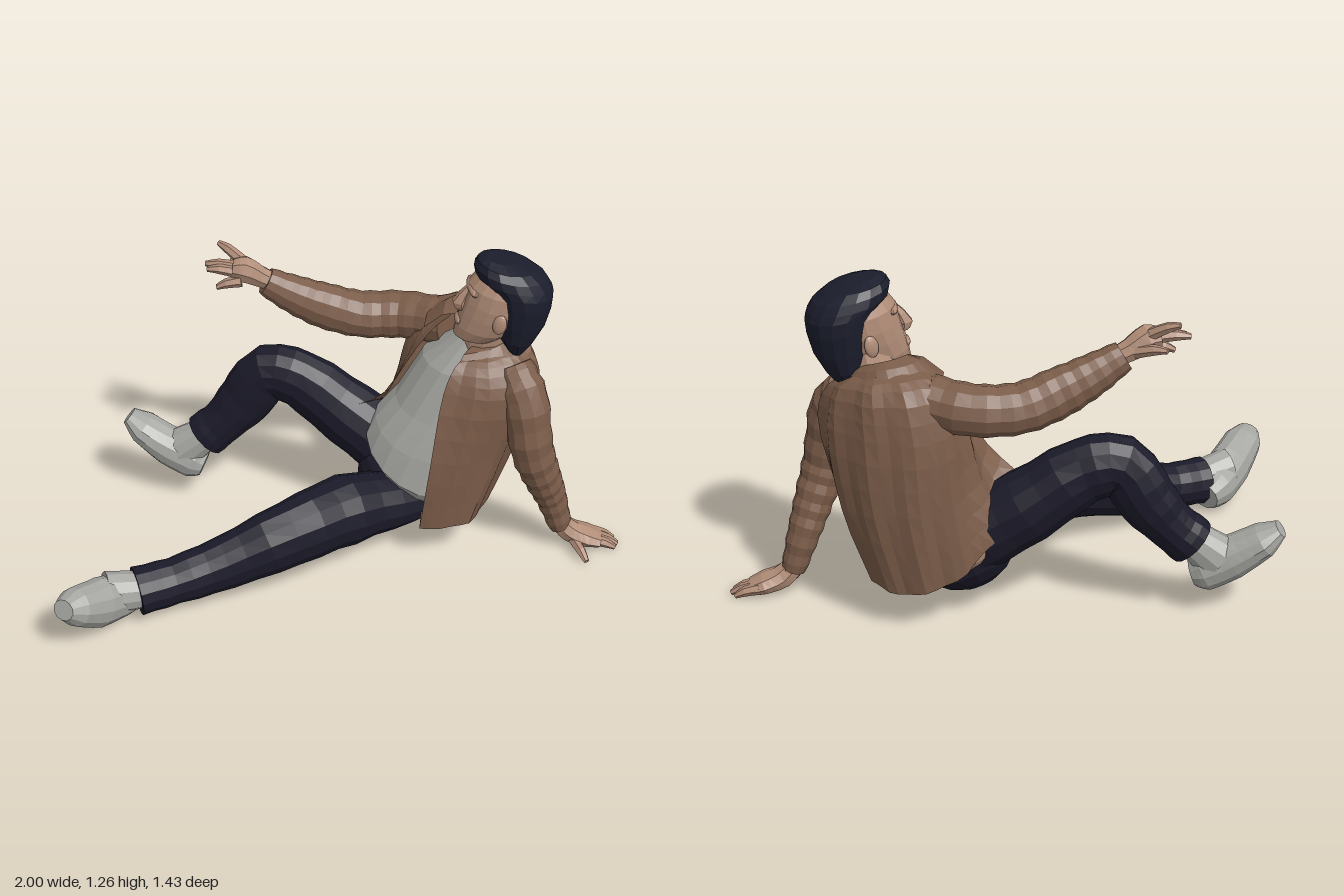
import * as THREE from 'three';

const V = (p) => new THREE.Vector3(p[0], p[1], p[2]);
const mat = (name, color, extra = {}) => {
  const m = new THREE.MeshStandardMaterial({ color, ...extra });
  m.name = name;
  return m;
};

// Faceted skin over a list of rings; closed rings also get end caps.
function loft(rings, closed) {
  const pos = [];
  const tri = (...p) => p.forEach((v) => pos.push(v.x, v.y, v.z));
  const n = rings[0].length;
  const m = closed ? n : n - 1;
  for (let i = 0; i < rings.length - 1; i++) {
    for (let j = 0; j < m; j++) {
      const k = (j + 1) % n, [r, s] = [rings[i], rings[i + 1]];
      tri(r[j], r[k], s[k]);
      tri(r[j], s[k], s[j]);
    }
  }
  if (closed) {
    const mid = (r) => r.reduce((a, v) => a.add(v), new THREE.Vector3()).divideScalar(n);
    const first = rings[0], last = rings[rings.length - 1];
    const a = mid(first), b = mid(last);
    for (let j = 0; j < n; j++) {
      const k = (j + 1) % n;
      tri(a, first[k], first[j]);
      tri(b, last[j], last[k]);
    }
  }
  const g = new THREE.BufferGeometry();
  g.setAttribute('position', new THREE.Float32BufferAttribute(pos, 3));
  g.computeVertexNormals();
  return g;
}

// Tapering limb: points are [x, y, z, radius along ref, radius across].
function limb(pts, ref = [0, 1, 0], sides = 12, steps = 3, ripple = 0) {
  const curve = new THREE.CatmullRomCurve3(pts.map(V));
  const n = (pts.length - 1) * steps, rings = [];
  for (let i = 0; i <= n; i++) {
    const s = Math.min(Math.floor(i / steps), pts.length - 2), f = i / steps - s;
    const c = curve.getPoint(i / n), t = curve.getTangent(i / n);
    const up = V(ref).addScaledVector(t, -V(ref).dot(t)).normalize();
    const side = up.clone().cross(t);
    const fold = 1 + ripple * (i % 2 ? 1 : -1);
    const ru = THREE.MathUtils.lerp(pts[s][3], pts[s + 1][3], f) * fold;
    const rs = THREE.MathUtils.lerp(pts[s][4], pts[s + 1][4], f) * fold;
    rings.push(Array.from({ length: sides }, (_, j) => {
      const a = (j / sides) * Math.PI * 2;
      return c.clone().addScaledVector(side, rs * Math.cos(a)).addScaledVector(up, ru * Math.sin(a));
    }));
  }
  return loft(rings, true);
}

// Stack of ellipses [x, y, z, half width, half depth, drop along the width].
function stack(sections, across, ahead, sides = 16) {
  return loft(sections.map((s) => Array.from({ length: sides }, (_, j) => {
    const a = (j / sides) * Math.PI * 2;
    const p = V(s).addScaledVector(across, s[3] * Math.cos(a)).addScaledVector(ahead, -s[4] * Math.sin(a));
    p.y -= s[5] * Math.cos(a);
    return p;
  })), true);
}

function ball(rx, ry, rz) {
  const g = new THREE.SphereGeometry(1, 14, 10).scale(rx, ry, rz).toNonIndexed();
  g.computeVertexNormals();
  return g;
}

const smooth = (pts, n) => new THREE.CatmullRomCurve3(pts).getPoints(n);

export function createModel() {
  const model = new THREE.Group();
  model.name = 'recliningMan';
  const leather = mat('brownJacket', 0x7c5d4a, { side: THREE.DoubleSide });
  const navy = mat('navyTrousers', 0x1b1a29);
  const grey = mat('greyCloth', 0xa6a6a2);
  const skin = mat('skin', 0xb08c77);
  const hairMat = mat('darkHair', 0x1b1d2c);
  const add = (name, geo, material, parent = model) => {
    const mesh = new THREE.Mesh(geo, material);
    mesh.name = name;
    parent.add(mesh);
    return mesh;
  };
  const Y = [0, 1, 0], Z = [0, 0, 1];

  // Trousers, with a strip of bare back above them
  const pelvis = add('pelvis', ball(0.2, 0.165, 0.18), navy);
  pelvis.position.set(0.14, 0.24, -0.41);
  pelvis.rotation.set(0, -0.5, -0.5);
  const back = add('lowerBack', ball(0.11, 0.07, 0.09), skin);
  back.position.set(0.13, 0.28, -0.545);
  back.rotation.set(0, -0.5, -0.45);
  add('leftTrouserLeg', limb([[0.17, 0.19, -0.33, 0.1, 0.12], [-0.03, 0.235, -0.12, 0.14, 0.135],
    [-0.2, 0.24, 0.09, 0.135, 0.11], [-0.41, 0.17, 0.225, 0.108, 0.09], [-0.58, 0.135, 0.335, 0.09, 0.085],
    [-0.7, 0.125, 0.415, 0.093, 0.09]], Y, 14, 3, 0.015), navy);
  add('rightTrouserLeg', limb([[0.12, 0.3, -0.46, 0.14, 0.15], [-0.1, 0.44, -0.47, 0.12, 0.135],
    [-0.3, 0.58, -0.46, 0.095, 0.12], [-0.42, 0.6, -0.45, 0.09, 0.11],
    [-0.51, 0.47, -0.44, 0.09, 0.11], [-0.6, 0.36, -0.42, 0.082, 0.09], [-0.675, 0.29, -0.405, 0.085, 0.095]],
  Z, 14, 3, 0.015), navy);

  // Shoes
  add('leftShoe', limb([[-0.72, 0.085, 0.35, 0.055, 0.055], [-0.755, 0.1, 0.41, 0.086, 0.078],
    [-0.81, 0.14, 0.53, 0.097, 0.083], [-0.86, 0.195, 0.64, 0.072, 0.075], [-0.88, 0.22, 0.695, 0.038, 0.045]]), grey);
  add('leftShoeAnkle', limb([[-0.66, 0.125, 0.39, 0.065, 0.065], [-0.8, 0.145, 0.48, 0.088, 0.075]]), grey);
  add('rightShoe', limb([[-0.68, 0.155, -0.39, 0.05, 0.05], [-0.72, 0.17, -0.39, 0.08, 0.07],
    [-0.82, 0.225, -0.385, 0.08, 0.08], [-0.93, 0.3, -0.385, 0.06, 0.08], [-0.985, 0.345, -0.385, 0.03, 0.045]]), grey);
  add('rightShoeAnkle', limb([[-0.64, 0.325, -0.4, 0.055, 0.055], [-0.77, 0.22, -0.39, 0.075, 0.09]], Z), grey);

  // Shirt, turned with the chest and lower on the left at the waist
  const across = V([0.87, 0, 0.48]), ahead = V([-0.48, 0, 0.87]);
  add('shirt', stack([[0.19, 0.28, -0.39, 0.13, 0.15, 0.09], [0.18, 0.36, -0.395, 0.19, 0.19, 0.11],
    [0.22, 0.47, -0.42, 0.2, 0.2, 0.06], [0.29, 0.59, -0.45, 0.2, 0.2, 0.02],
    [0.37, 0.78, -0.47, 0.19, 0.17, 0], [0.41, 0.9, -0.46, 0.08, 0.08, 0]], across, ahead), grey);

  // Open jacket: each line runs from the right front edge round the back to the left front edge
  const hem = [[-0.1, 0.5, -0.42], [0, 0.36, -0.58], [0.14, 0.22, -0.66], [0.3, 0.165, -0.67],
    [0.43, 0.165, -0.6], [0.47, 0.17, -0.42], [0.42, 0.165, -0.23], [0.25, 0.16, -0.16]];
  const waist = [[0.06, 0.62, -0.37], [0.07, 0.55, -0.56], [0.18, 0.5, -0.68], [0.36, 0.48, -0.7],
    [0.52, 0.46, -0.62], [0.57, 0.46, -0.44], [0.5, 0.46, -0.25], [0.29, 0.48, -0.15]];
  const chest = [[0.18, 0.82, -0.4], [0.12, 0.8, -0.56], [0.2, 0.76, -0.68], [0.38, 0.76, -0.7],
    [0.56, 0.76, -0.6], [0.64, 0.74, -0.41], [0.56, 0.74, -0.26], [0.32, 0.76, -0.21]];
  const shoulder = [[0.24, 0.9, -0.44], [0.17, 0.92, -0.55], [0.25, 0.94, -0.64], [0.4, 0.93, -0.66],
    [0.54, 0.9, -0.56], [0.6, 0.85, -0.42], [0.52, 0.85, -0.31], [0.35, 0.85, -0.26]];
  const neckline = [[0.29, 0.96, -0.43], [0.29, 0.98, -0.5], [0.33, 0.98, -0.55], [0.4, 0.97, -0.57],
    [0.48, 0.94, -0.52], [0.52, 0.91, -0.45], [0.48, 0.89, -0.37], [0.38, 0.87, -0.33]];
  const levels = [hem, waist, chest, shoulder, neckline];
  const columns = hem.map((_, j) => smooth(levels.map((l) => V(l[j])), 12));
  const rows = columns[0].map((_, i) => smooth(columns.map((c) => c[i]), 32));
  const axis = V([0.33, 0, -0.45]);
  rows.forEach((row, i) => row.forEach((p, j) => {
    const out = p.clone().sub(axis).setY(0).normalize();
    p.addScaledVector(out, 0.007 * Math.sin(j * 1.7 + i * 0.25));
  }));
  const core = V([0.22, 0.25, -0.42]);
  const lining = rows[0].map((p) => p.clone().lerp(core, 0.9));
  add('jacketBody', loft([lining, ...rows], false), leather);

  // Turned-down collar
  const neckRow = smooth(neckline.map(V), 18), neckMid = V([0.43, 0.94, -0.45]);
  const flare = (k, dy) => neckRow.map((p) => {
    const q = p.clone().sub(neckMid).multiplyScalar(k).add(neckMid);
    q.y = p.y + dy;
    return q;
  });
  add('collar', loft([flare(0.6, -0.02), flare(0.78, 0.02), flare(1.15, 0.01), flare(1.65, -0.05)], false), leather);

  // Sleeves
  add('rightSleeve', limb([[0.26, 0.87, -0.55, 0.09, 0.09], [0.08, 0.85, -0.59, 0.09, 0.095],
    [-0.08, 0.85, -0.555, 0.088, 0.095], [-0.21, 0.895, -0.51, 0.09, 0.08], [-0.32, 0.95, -0.475, 0.075, 0.068],
    [-0.42, 1.01, -0.445, 0.055, 0.05]], Y, 12, 4, 0.025), leather);
  add('leftSleeve', limb([[0.55, 0.82, -0.38, 0.08, 0.07], [0.605, 0.72, -0.33, 0.095, 0.09], [0.65, 0.5, -0.31, 0.088, 0.083],
    [0.69, 0.36, -0.345, 0.08, 0.072], [0.725, 0.24, -0.385, 0.068, 0.06], [0.765, 0.1, -0.405, 0.052, 0.045]],
  Z, 12, 4, 0.04), leather);

  // Hands: palm plus fingers running from the knuckles to each tip
  const hand = (side, palm, knuckles, tips) => {
    const g = new THREE.Group();
    g.name = side + 'Hand';
    model.add(g);
    add(side + 'Palm', limb(palm, Y, 8), skin, g);
    tips.forEach((tip, i) => {
      const k = V(knuckles[i]), m = k.clone().lerp(V(tip), 0.6);
      m.y += 0.006;
      add(side + 'Finger', limb([[...k, 0.023, 0.023], [...m, 0.019, 0.02], [...tip, 0.01, 0.012]], Y, 6, 2), skin, g);
    });
  };
  hand('right', [[-0.38, 1, -0.455, 0.035, 0.035], [-0.44, 1.03, -0.44, 0.042, 0.042], [-0.5, 1.065, -0.42, 0.055, 0.05],
    [-0.54, 1.07, -0.41, 0.035, 0.04]],
  [[-0.51, 1.09, -0.44], [-0.52, 1.07, -0.42], [-0.52, 1.06, -0.4], [-0.5, 1.03, -0.39], [-0.46, 1.03, -0.46]],
  [[-0.61, 1.137, -0.47], [-0.645, 1.075, -0.41], [-0.63, 1.07, -0.38], [-0.59, 1.005, -0.365], [-0.57, 1.055, -0.5]]);
  hand('left', [[0.75, 0.13, -0.4, 0.04, 0.04], [0.8, 0.075, -0.41, 0.045, 0.05], [0.87, 0.05, -0.425, 0.037, 0.065],
    [0.92, 0.035, -0.435, 0.025, 0.055]],
  [[0.88, 0.045, -0.465], [0.89, 0.045, -0.44], [0.89, 0.04, -0.415], [0.82, 0.05, -0.39]],
  [[0.97, 0.015, -0.475], [0.99, 0.013, -0.448], [0.985, 0.013, -0.42], [0.89, 0.015, -0.3]]);

  // Neck and head
  add('neck', limb([[0.42, 0.83, -0.45, 0.1, 0.1], [0.46, 1.02, -0.42, 0.08, 0.08]], Z), skin);
  const head = new THREE.Group();
  head.name = 'head';
  head.position.set(0.48, 1.07, -0.41);
  head.rotation.set(-0.2, -1.26, 0, 'YXZ');
  model.add(head);
  // Head sections are [height, forward shift, half width, half depth]
  const layers = (list) => stack(list.map(([y, z, w, d]) => [0, y, z, w, d, 0]), V([1, 0, 0]), V(Z));
  add('face', layers([[-0.17, 0.075, 0.03, 0.035], [-0.155, 0.06, 0.065, 0.078], [-0.11, 0.035, 0.092, 0.105],
    [-0.05, 0.015, 0.108, 0.122], [0, 0.005, 0.116, 0.128], [0.06, 0, 0.115, 0.128], [0.11, -0.01, 0.1, 0.115],
    [0.14, -0.02, 0.06, 0.07]]), skin, head);
  add('nose', limb([[0, 0.045, 0.12, 0.012, 0.016], [0, -0.025, 0.14, 0.035, 0.027], [0, -0.05, 0.13, 0.018, 0.022]],
    Z, 6, 2), skin, head);
  add('brow', ball(0.08, 0.018, 0.022), skin, head).position.set(0, 0.045, 0.11);
  add('lips', ball(0.035, 0.018, 0.015), skin, head).position.set(0, -0.095, 0.133);
  for (const s of [-1, 1]) {
    const ear = add('ear', ball(0.014, 0.04, 0.026), skin, head);
    ear.position.set(s * 0.116, -0.035, 0.005);
    ear.rotation.y = -s * 0.3;
  }
  add('hair', layers([[-0.175, -0.1, 0.08, 0.035], [-0.12, -0.09, 0.108, 0.075], [-0.05, -0.085, 0.124, 0.102],
    [0.03, -0.072, 0.136, 0.12], [0.08, -0.055, 0.137, 0.132], [0.105, -0.03, 0.132, 0.145], [0.135, -0.01, 0.122, 0.138],
    [0.16, 0.01, 0.1, 0.11], [0.175, 0.035, 0.05, 0.06]]), hairMat, head);

  return model;
}
